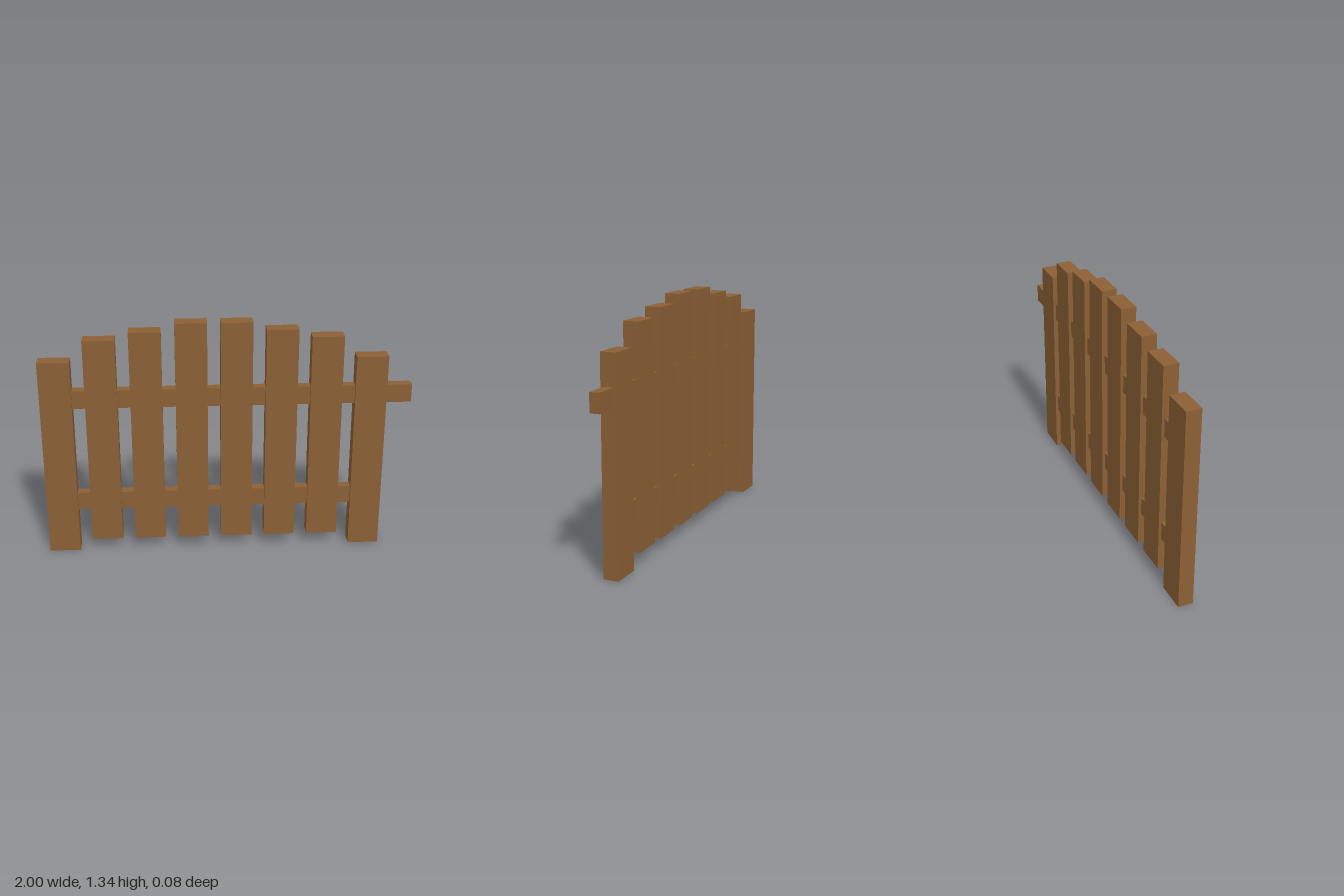
import * as THREE from 'three';

const wood = new THREE.MeshStandardMaterial({ color: 0x8b6035, flatShading: true });

// Box given by its x and y extents, centred on z = 0
function board(name, x0, x1, y0, y1, depth) {
  const mesh = new THREE.Mesh(new THREE.BoxGeometry(x1 - x0, y1 - y0, depth), wood);
  mesh.position.set((x0 + x1) / 2, (y0 + y1) / 2, 0);
  mesh.name = name;
  return mesh;
}

export function createModel() {
  const fence = new THREE.Group();
  fence.name = 'fence';

  // Upright pickets rising to an arch; the outer two stand on the ground
  const tops = [1.133, 1.25, 1.293, 1.337];
  const width = 0.171, pitch = 0.2417, count = 8;
  for (let i = 0; i < count; i++) {
    const step = Math.min(i, count - 1 - i);
    const x = -1 + i * pitch;
    const bottom = step === 0 ? 0 : 0.07;
    const name = step === 0 ? 'endPost' : 'picket';
    fence.add(board(`${name}${i + 1}`, x, x + width, bottom, tops[step], 0.083));
  }

  // Rails threaded through the pickets; the upper one sticks out past the left end
  fence.add(board('upperRail', -0.91, 1, 0.864, 0.965, 0.053));
  fence.add(board('lowerRail', -0.91, 0.78, 0.256, 0.356, 0.053));

  return fence;
}
